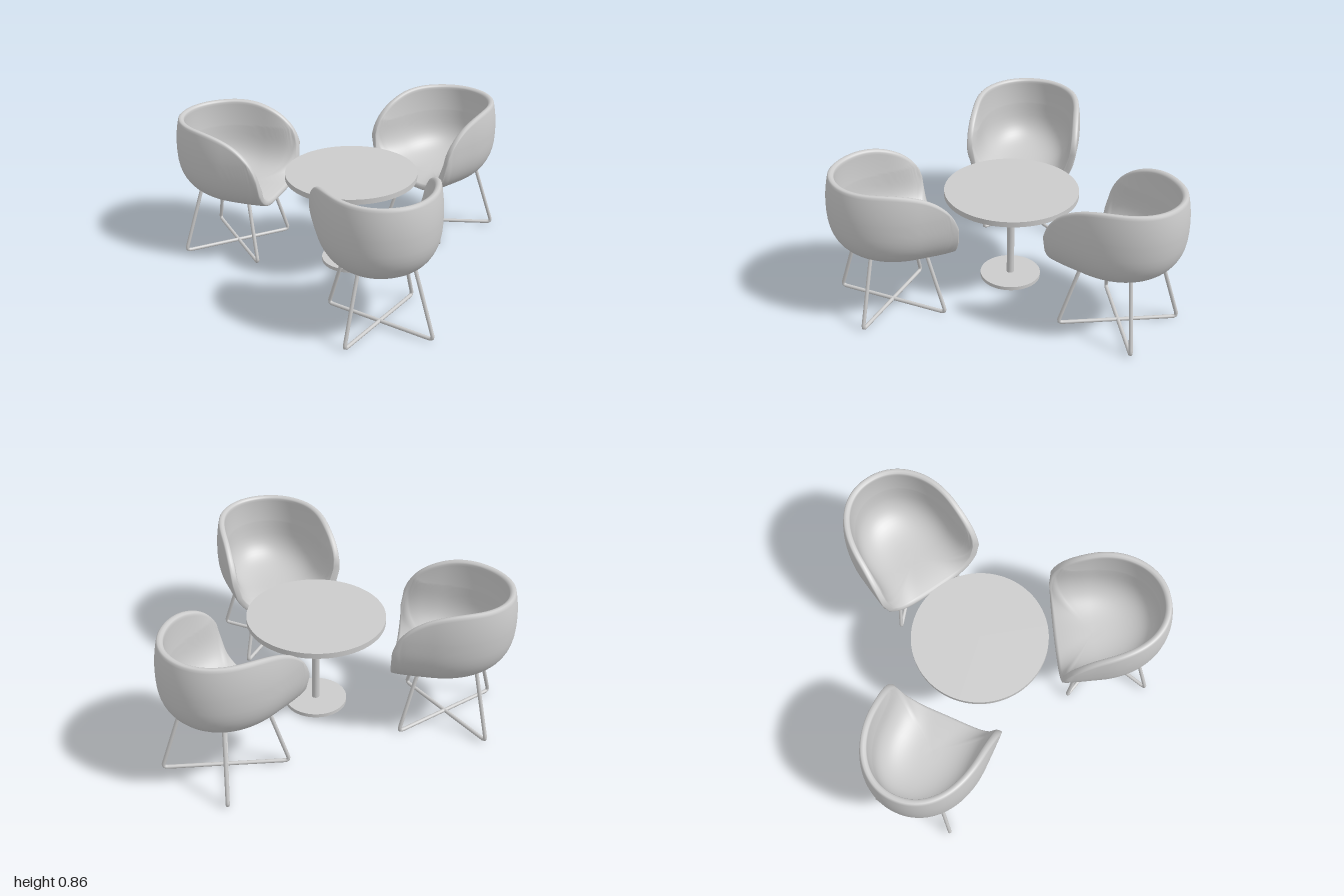
import * as THREE from 'three';

const grey = new THREE.MeshStandardMaterial({ color: 0xcccccc });

function part(name, geometry, y = 0) {
  const mesh = new THREE.Mesh(geometry, grey);
  mesh.name = name;
  mesh.position.y = y;
  return mesh;
}

// Outer bowl: plan is rounded at the back (+z) and squarer at the open front (-z)
function bowlPoint(theta, s) {
  const c = Math.cos(theta), d = Math.sin(theta);
  const m = d > 0 ? 2.1 : 5, depth = d > 0 ? 0.43 : 0.42;
  const r = Math.pow(Math.pow(Math.abs(c) / 0.345, m) + Math.pow(Math.abs(d) / depth, m), -1 / m);
  let rho, y;
  if (s <= 1) {
    const phi = s * Math.PI / 2, e = 2 / 2.7;
    rho = Math.pow(Math.sin(phi), e);
    y = 0.68 - 0.33 * Math.pow(Math.max(0, Math.cos(phi)), e);
  } else {
    rho = 1 - 0.055 * (s - 1) ** 2;
    y = 0.68 + 0.18 * (s - 1);
  }
  return new THREE.Vector3(r * c * rho, y, r * d * rho);
}

// Height of the rim, sweeping down from the back to the front corners
function rimHeight(z) {
  const k = Math.min(1, Math.max(0, (0.24 - z) / 0.47));
  return 0.49 + 0.36 * Math.pow(1 - Math.pow(k, 2.3), 1 / 2.3);
}

// How far up the bowl the shell reaches in one direction
function rimParameter(theta) {
  let lo = 0, hi = 2;
  for (let i = 0; i < 30; i++) {
    const mid = (lo + hi) / 2, p = bowlPoint(theta, mid);
    if (p.z >= -0.22 && p.y <= rimHeight(p.z)) lo = mid; else hi = mid;
  }
  return lo;
}

// Closed-in-theta surface from rows of points
function sheet(rows) {
  const n = rows[0].length, index = [];
  for (let i = 0; i < rows.length - 1; i++) {
    for (let j = 0; j < n; j++) {
      const k = (j + 1) % n;
      const a = i * n + j, b = a + n, c = i * n + k, d = c + n;
      index.push(a, b, d, a, d, c);
    }
  }
  const g = new THREE.BufferGeometry().setFromPoints(rows.flat());
  g.setIndex(index);
  g.computeVertexNormals();
  return g;
}

// Padded shell: outer skin, rounded rim, then inner skin offset along the normals
function shellGeometry() {
  const N = 28, M = 144, outer = [];
  const ends = Array.from({ length: M }, (_, j) => rimParameter(j / M * Math.PI * 2));
  for (let i = 0; i <= N; i++) {
    outer.push(ends.map((e, j) => bowlPoint(j / M * Math.PI * 2, e * i / N)));
  }
  const normals = sheet(outer).getAttribute('normal');
  const inner = outer.map((row, i) => row.map((p, j) => {
    const n = new THREE.Vector3(0, -1, 0);
    if (i > 0) n.fromBufferAttribute(normals, i * M + j);
    return p.clone().addScaledVector(n, -(0.036 + 0.036 * (1 - (i / N) ** 2)));
  }));
  const rim = [0.15, 0.5, 0.85].map(t => outer[N].map((p, j) => {
    const out = p.clone().sub(outer[N - 1][j]).normalize();
    return p.clone().lerp(inner[N][j], t).addScaledVector(out, t === 0.5 ? 0.011 : 0.008);
  }));
  return sheet([...outer, ...rim, ...inner.reverse()]);
}

// One bent rod: down a leg, diagonally across the floor, up the opposite leg
function legFrameGeometry(side) {
  const at = (k, y) => new THREE.Vector3(side * k, y, 0.085 + k);
  const pts = [at(-0.155, 0.415), at(-0.245, 0.012), at(0.245, 0.012), at(0.155, 0.415)];
  const path = new THREE.CurvePath();
  let start = pts[0];
  for (let i = 1; i < 3; i++) {
    const toward = q => pts[i].clone().add(q.clone().sub(pts[i]).setLength(0.028));
    const a = toward(pts[i - 1]), b = toward(pts[i + 1]);
    path.add(new THREE.LineCurve3(start, a));
    path.add(new THREE.QuadraticBezierCurve3(a, pts[i], b));
    start = b;
  }
  path.add(new THREE.LineCurve3(start, pts[3]));
  return new THREE.TubeGeometry(path, 120, 0.011, 12);
}

export function createModel() {
  const model = new THREE.Group();
  model.name = 'tableAndChairs';

  // Round pedestal table
  const table = new THREE.Group();
  table.name = 'table';
  table.position.set(0, 0, -0.185);
  table.add(
    part('tableTop', new THREE.CylinderGeometry(0.395, 0.395, 0.032, 96), 0.58),
    part('tablePost', new THREE.CylinderGeometry(0.022, 0.022, 0.55, 32), 0.295),
    part('tableBase', new THREE.CylinderGeometry(0.182, 0.182, 0.022, 64), 0.014)
  );
  model.add(table);

  // Three tub chairs facing the table
  const shell = shellGeometry();
  const frames = [legFrameGeometry(1), legFrameGeometry(-1)];
  const places = [[0.02, 0.48, 0], [0.594, -0.54, 1], [-0.594, -0.515, -1]];
  for (const [x, z, turn] of places) {
    const chair = new THREE.Group();
    chair.name = 'chair';
    chair.position.set(x, 0, z);
    chair.rotation.y = turn * Math.PI * 2 / 3;
    chair.add(part('seatShell', shell), ...frames.map(f => part('legFrame', f)));
    model.add(chair);
  }
  return model;
}
